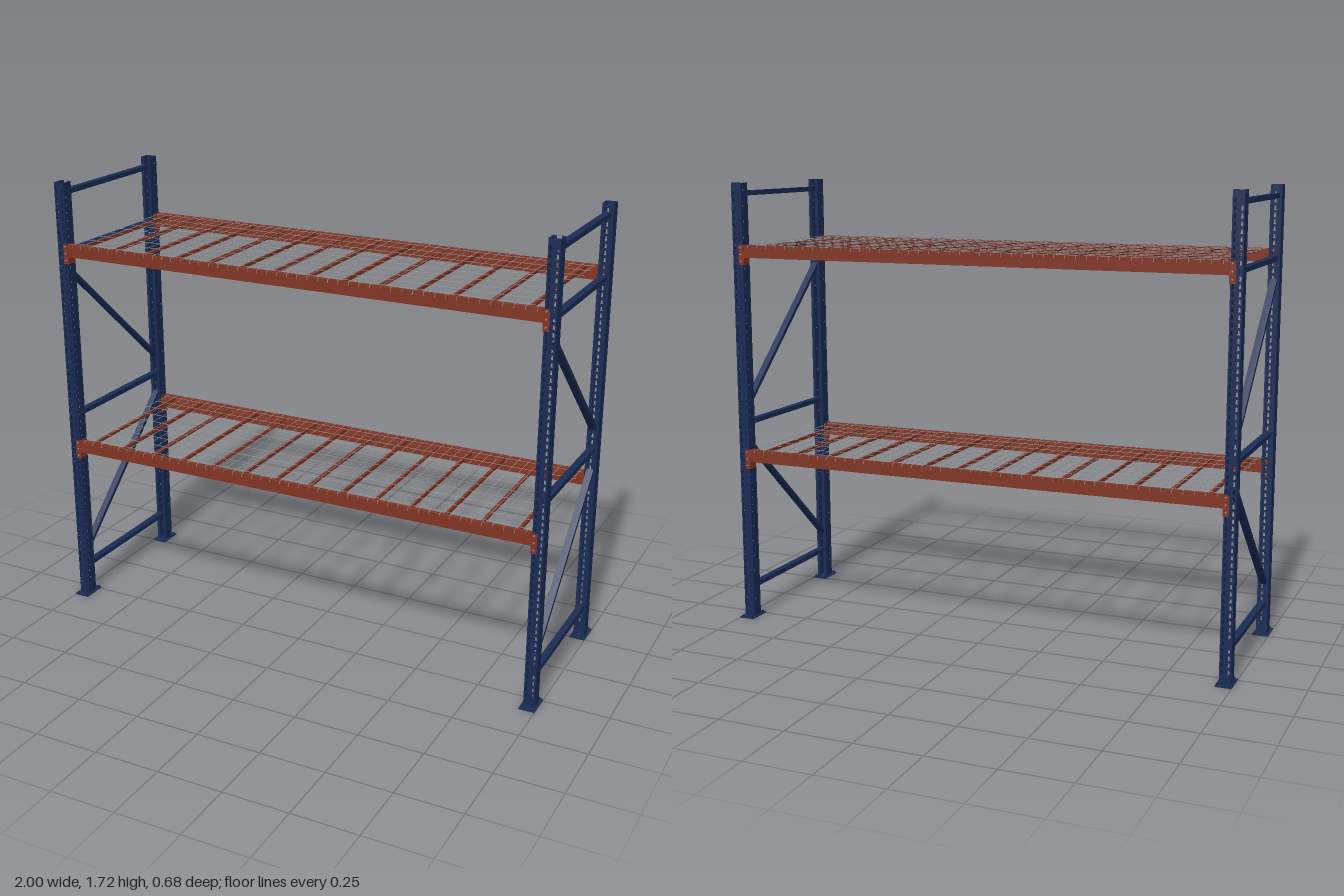
import * as THREE from 'three';

const H = 1.72, POST_X = 0.97, POST_Z = 0.291, W = 0.043, D = 0.046, T = 0.003;

const material = (name, color) => {
  const m = new THREE.MeshStandardMaterial({ color });
  m.name = name;
  return m;
};

function add(parent, name, geometry, mat, x = 0, y = 0, z = 0) {
  const mesh = new THREE.Mesh(geometry, mat);
  mesh.name = name;
  mesh.position.set(x, y, z);
  parent.add(mesh);
  return mesh;
}

const box = (w, h, d) => new THREE.BoxGeometry(w, h, d);

// Upright strip with columns of punched slots; thickness is centred on z = 0
function punchedStrip(width, columns, slotW, slotH, pitch) {
  const shape = new THREE.Shape();
  shape.moveTo(-width / 2, 0);
  shape.lineTo(width / 2, 0);
  shape.lineTo(width / 2, H);
  shape.lineTo(-width / 2, H);
  shape.closePath();
  for (const cx of columns) {
    for (let y = 0.04; y < H - 0.02; y += pitch) {
      const slot = new THREE.Path();
      slot.moveTo(cx - slotW / 2, y);
      slot.lineTo(cx - slotW * 0.3, y + slotH);
      slot.lineTo(cx + slotW * 0.3, y + slotH);
      slot.lineTo(cx + slotW / 2, y);
      slot.closePath();
      shape.holes.push(slot);
    }
  }
  return new THREE.ExtrudeGeometry(shape, { depth: T, bevelEnabled: false }).translate(0, 0, -T / 2);
}

export function createModel() {
  const root = new THREE.Group();
  root.name = 'palletRack';
  const blue = material('navy steel', 0x1a2b54);
  const red = material('rust red steel', 0x813524);
  const zinc = material('zinc', 0x9a9ea2);

  const webGeo = punchedStrip(W, [-0.012, 0.012], 0.009, 0.016, 0.026);
  const flangeGeo = punchedStrip(D - 2 * T, [-0.01], 0.008, 0.008, 0.03).rotateY(Math.PI / 2);
  const boltGeo = new THREE.CylinderGeometry(0.004, 0.004, 0.01, 6);

  // Open-backed upright on a bolted foot plate, web facing outward
  function upright(x, side) {
    const g = new THREE.Group();
    g.name = 'upright';
    g.position.set(x, 0, side * POST_Z);
    if (side < 0) g.rotation.y = Math.PI;
    add(g, 'postWeb', webGeo, blue, 0, 0, D / 2 - T / 2);
    for (const s of [-1, 1]) {
      add(g, 'postFlange', flangeGeo, blue, s * (W / 2 - T / 2), 0, 0);
      add(g, 'postLip', box(0.013, H, T), blue, s * (W / 2 - 0.0065), H / 2, -D / 2 + T / 2);
      for (const b of [-1, 1]) add(g, 'footBolt', boltGeo, blue, s * 0.02, 0.006, b * 0.041);
    }
    add(g, 'footPlate', box(0.06, 0.004, 0.098), blue, 0, 0.002, 0);
    root.add(g);
  }

  // Brace between two (z, y) points inside a frame
  function brace(name, x, z1, y1, z2, y2, thick) {
    const m = add(root, name, box(0.026, thick, Math.hypot(z2 - z1, y2 - y1)), blue,
      x, (y1 + y2) / 2, (z1 + z2) / 2);
    m.rotation.x = Math.atan2(y1 - y2, z2 - z1);
  }

  for (const sx of [-1, 1]) {
    const x = sx * POST_X;
    for (const sz of [-1, 1]) upright(x, sz);
    for (const y of [0.125, 0.79, 1.45, 1.68]) brace('crossBrace', x, -0.272, y, 0.272, y, 0.018);
    brace('upperDiagonal', x, -0.275, 0.87, 0.275, 1.37, 0.015);
    brace('lowerDiagonal', x, -0.275, 0.705, 0.275, 0.205, 0.015);
  }

  // Stepped load beam section, drawn with outward to the right
  const section = new THREE.Shape();
  section.moveTo(0.275, -0.048);
  section.lineTo(0.3145, -0.048);
  section.lineTo(0.3145, 0);
  section.lineTo(0.297, 0);
  section.lineTo(0.297, -0.015);
  section.lineTo(0.275, -0.015);
  section.closePath();
  const beamGeo = new THREE.ExtrudeGeometry(section, { depth: 1.896, bevelEnabled: false })
    .translate(0, 0, -0.948).rotateY(-Math.PI / 2);

  // Beam with bolted end connectors
  function beam(level, side) {
    const g = new THREE.Group();
    g.name = 'loadBeam';
    g.position.y = level;
    if (side < 0) g.rotation.y = Math.PI;
    add(g, 'beamBody', beamGeo, red);
    for (const s of [-1, 1]) {
      add(g, 'connectorFace', box(0.022, 0.076, 0.003), red, s * 0.956, -0.038, 0.3142);
      add(g, 'connectorSide', box(0.004, 0.076, 0.04), red, s * 0.9465, -0.038, 0.2945);
      for (const y of [-0.008, -0.035, -0.062]) {
        const bolt = add(g, 'connectorBolt', boltGeo, zinc, s * 0.956, y, 0.315);
        bolt.rotation.x = Math.PI / 2;
        bolt.scale.set(0.7, 1, 0.7);
      }
    }
    root.add(g);
  }

  // Wire deck resting on support bars, wire ends hooked over the beams
  function deck(level) {
    const g = new THREE.Group();
    g.name = 'wireDeck';
    g.position.y = level;
    for (let i = 0; i < 14; i++) {
      add(g, 'supportBar', box(0.01, 0.012, 0.59), red, (i - 6.5) * 0.1373, -0.009, 0);
    }
    const wire = 0.0014;
    for (let i = 0; i < 47; i++) {
      const x = (i - 23) * 0.0402;
      add(g, 'crossWire', box(wire, wire, 0.632), zinc, x, 0.0008, 0);
      for (const s of [-1, 1]) add(g, 'wireHook', box(wire, 0.012, wire), zinc, x, -0.0055, s * 0.3153);
    }
    for (let i = -4; i <= 4; i++) {
      add(g, 'longWire', box(1.87, wire, wire), zinc, 0, -0.0006, i * 0.071);
    }
    root.add(g);
  }

  for (const level of [0.685, 1.485]) {
    for (const side of [-1, 1]) beam(level, side);
    deck(level);
  }
  return root;
}
